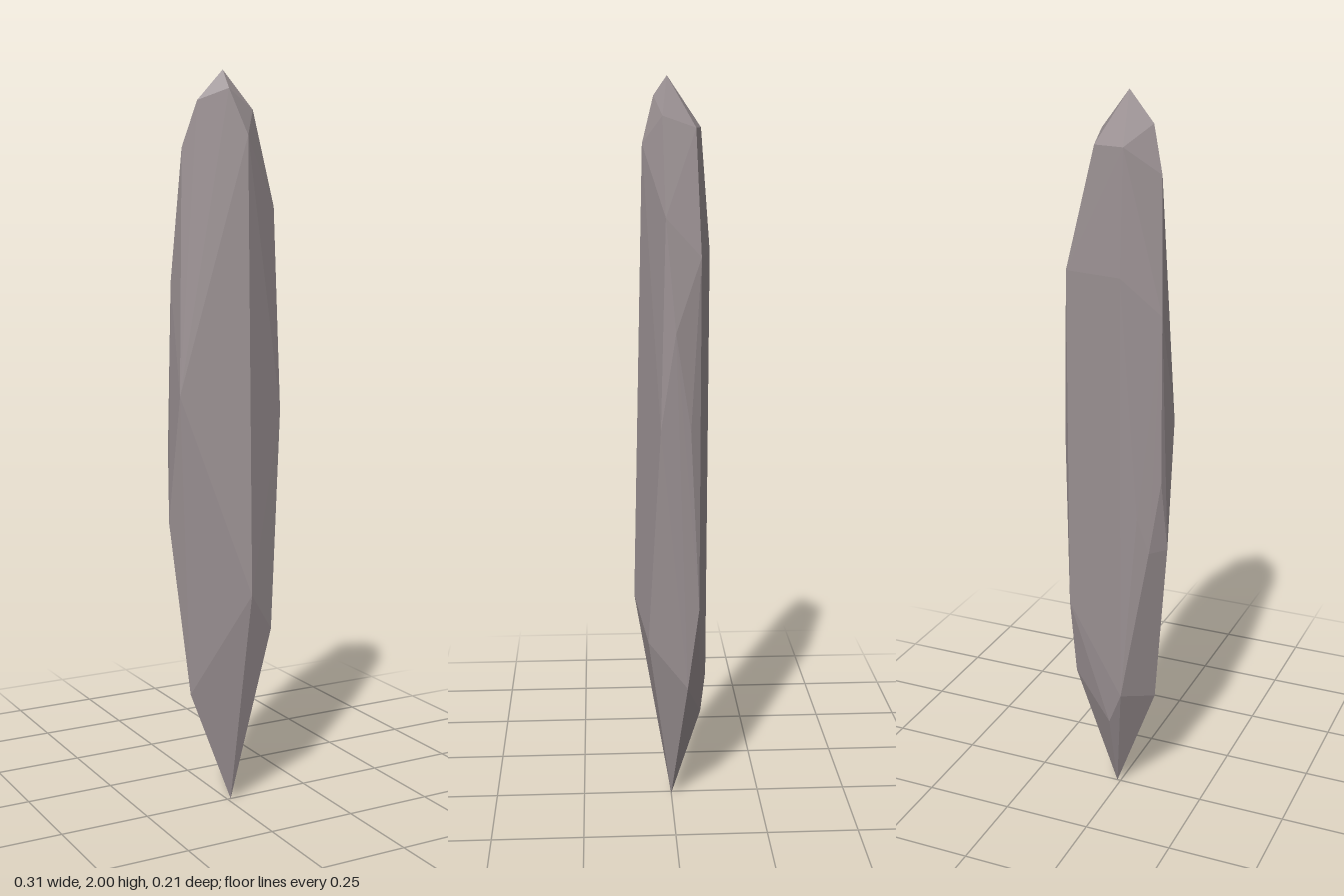
import * as THREE from 'three';
import { ConvexGeometry } from 'three/addons/geometries/ConvexGeometry.js';

export function createModel() {
  const group = new THREE.Group();
  group.name = 'crystal';

  // Corners of the faceted shard: x, y, z
  const corners = [
    // tips
    [0.01, 0, 0], [-0.02, 2, 0.01],
    // front ridge
    [0.02, 0.61, 0.103], [0.02, 1.83, 0.076], [-0.02, 1.95, 0.045],
    // left side
    [0.062, 1.9, 0.025], [0.13, 1.65, 0.02], [0.155, 1.36, -0.005],
    [0.145, 1.1, 0.034], [0.1, 0.5, 0.067], [0.12, 0.37, -0.04],
    // back left edge
    [0.045, 1.87, -0.062], [0.122, 1.55, -0.072], [0.125, 0.6, -0.07], [0.143, 1.1, -0.045],
    // back ridge
    [-0.04, 1.87, -0.08], [-0.042, 1.55, -0.105], [-0.042, 0.35, -0.1], [0, 0.25, -0.083],
    // right side
    [-0.09, 1.92, 0], [-0.123, 1.8, -0.025], [-0.15, 1.15, 0.013],
    [-0.156, 0.8, -0.045], [-0.11, 0.32, -0.01],
    // back right edge
    [-0.14, 1.45, -0.06], [-0.146, 1.0, -0.07], [-0.12, 0.8, -0.09], [-0.09, 0.9, -0.102],
  ].map((p) => new THREE.Vector3(...p));

  const shard = new THREE.Mesh(
    new ConvexGeometry(corners),
    new THREE.MeshStandardMaterial({ color: 0x9a9092, flatShading: true })
  );
  shard.name = 'crystalShard';
  group.add(shard);
  return group;
}
